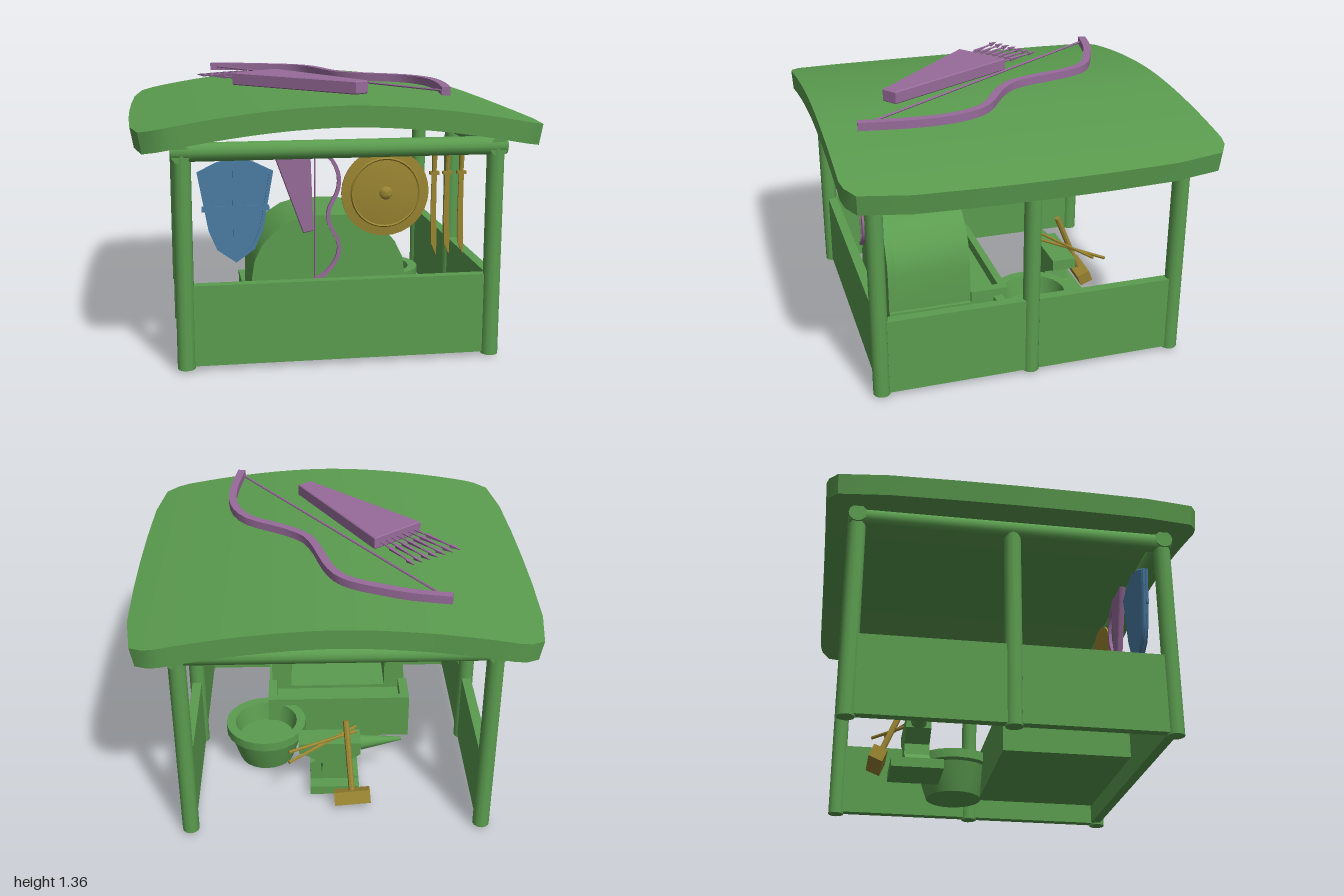
import * as THREE from 'three';
import { toCreasedNormals } from 'three/addons/utils/BufferGeometryUtils.js';

const mat = (c) => new THREE.MeshStandardMaterial({ color: c, side: THREE.DoubleSide });
const V = (x, y, z) => new THREE.Vector3(x, y, z);

export function createModel() {
  const root = new THREE.Group();
  const green = mat(0x5b9c4f), purple = mat(0x976b9a), gold = mat(0x9a8532), blue = mat(0x4a7ba3);

  const add = (name, geo, m, x = 0, y = 0, z = 0, parent = root) => {
    const mesh = new THREE.Mesh(toCreasedNormals(geo, 0.7), m);
    mesh.name = name;
    mesh.position.set(x, y, z);
    parent.add(mesh);
    return mesh;
  };
  const box = (name, w, h, d, x, y, z, m = green, parent = root) =>
    add(name, new THREE.BoxGeometry(w, h, d), m, x, y, z, parent);
  // Cylinder or cone between two points
  const rod = (name, a, b, r, m, parent = root, r2 = r, sides = 12) => {
    const dir = b.clone().sub(a), mid = a.clone().add(b).multiplyScalar(0.5);
    const mesh = add(name, new THREE.CylinderGeometry(r2, r, dir.length(), sides), m, mid.x, mid.y, mid.z, parent);
    mesh.quaternion.setFromUnitVectors(V(0, 1, 0), dir.normalize());
    return mesh;
  };
  const polygon = (pts) => new THREE.Shape(pts.map((p) => new THREE.Vector2(p[0], p[1])));
  const plate = (pts, depth, bevel = 0) => new THREE.ExtrudeGeometry(polygon(pts), {
    depth, bevelEnabled: bevel > 0, bevelSize: bevel, bevelThickness: bevel, bevelOffset: -bevel, bevelSegments: 1,
  });
  // Flat strip of constant width following a path
  const strip = (pts, width, depth) => {
    const curve = new THREE.CatmullRomCurve3(pts.map((p) => V(p[0], p[1], 0)));
    const left = [], right = [];
    for (let i = 0; i <= 28; i++) {
      const p = curve.getPoint(i / 28), t = curve.getTangent(i / 28);
      left.push([p.x - t.y * width / 2, p.y + t.x * width / 2]);
      right.unshift([p.x + t.y * width / 2, p.y - t.x * width / 2]);
    }
    return plate([...left, ...right], depth);
  };

  // Arched roof: rows along z set the cut corners, x is bent into a bow
  const rows = [[-0.93, 0.82], [-0.918, 0.88], [-0.875, 0.945], [-0.63, 0.985], [-0.3, 0.997], [0, 1],
    [0.3, 0.997], [0.63, 0.985], [0.875, 0.945], [0.918, 0.88], [0.93, 0.82]];
  const roof = new THREE.BoxGeometry(2, 0.1, 10, 28, 1, 10);
  const rp = roof.attributes.position;
  for (let i = 0; i < rp.count; i++) {
    const [z, w] = rows[Math.round(rp.getZ(i) + 5)];
    const x = rp.getX(i) * w, y = rp.getY(i);
    const tuck = y < 0 ? 0.982 : 1;
    rp.setXYZ(i, x * tuck, y + 1.222 - 0.122 * Math.pow(Math.abs(x), 1.8), z * (y < 0 ? 0.995 : 1));
  }
  add('roof', roof, green);

  // Posts, beams and low walls
  for (const s of [-1, 1]) {
    for (const z of [-0.77, 0, 0.77]) rod('post', V(s * 0.75, 0, z), V(s * 0.75, 1.05, z), 0.043, green);
    rod('sideBeam', V(s * 0.755, 1.045, -0.81), V(s * 0.755, 1.045, 0.81), 0.045, green);
    rod('crossBeam', V(-0.8, 1.05, s * 0.77), V(0.8, 1.05, s * 0.77), 0.045, green);
    for (const z of [-0.385, 0.385]) box('sideWall', 0.05, 0.4, 0.7, s * 0.75, 0.21, z);
  }
  box('frontWall', 1.44, 0.4, 0.05, 0, 0.21, 0.755);

  // Forge: hearth table with a hollow arched hood
  const forge = new THREE.Group();
  forge.name = 'forge';
  root.add(forge);
  box('hearth', 0.8, 0.2, 0.64, -0.04, 0.1, 0.32, green, forge);
  for (const s of [-1, 1]) box('hearthRim', 0.05, 0.06, 0.2, -0.04 + s * 0.375, 0.23, 0.1, green, forge);
  box('hearthRim', 0.7, 0.06, 0.04, -0.04, 0.23, 0.02, green, forge);
  const arch = (w, base, spring, top) => {
    const pts = [[-w, base], [w, base]];
    for (let i = 0; i <= 12; i++) {
      const a = Math.PI * i / 12;
      pts.push([Math.cos(a) * w, Math.min(top, spring + Math.sin(a) * (top - spring) * 1.06)]);
    }
    return pts;
  };
  const hood = polygon(arch(0.38, 0.2, 0.4, 0.7));
  hood.holes.push(new THREE.Path(arch(0.27, 0.22, 0.38, 0.58).map((p) => new THREE.Vector2(p[0], p[1]))));
  add('hood', new THREE.ExtrudeGeometry(hood, { depth: 0.4, bevelEnabled: false }), green, -0.04, 0, 0.2, forge);
  add('hoodBack', plate(arch(0.38, 0.2, 0.4, 0.7), 0.04), green, -0.04, 0, 0.6, forge);

  // Quenching tub
  const tub = [[0, 0], [0.15, 0], [0.17, 0.06], [0.2, 0.16], [0.22, 0.17], [0.22, 0.22], [0.17, 0.22], [0.15, 0.12], [0, 0.12]];
  add('tub', new THREE.LatheGeometry(tub.map((p) => new THREE.Vector2(...p)), 24), green, 0.37, 0, -0.14);

  // Anvil with the horn towards -x
  const anvil = new THREE.Group();
  anvil.name = 'anvil';
  anvil.position.set(0, 0, -0.385);
  root.add(anvil);
  add('anvilBody', plate([[-0.13, 0], [0.13, 0], [0.13, 0.05], [0.07, 0.09], [0.06, 0.15], [0.14, 0.2], [0.19, 0.22],
    [0.19, 0.28], [-0.14, 0.28], [-0.14, 0.21], [-0.06, 0.15], [-0.07, 0.09], [-0.13, 0.05]], 0.13), green, 0, 0, -0.065, anvil);
  box('anvilFoot', 0.26, 0.05, 0.27, 0, 0.025, 0, green, anvil);
  rod('horn', V(-0.14, 0.242, 0), V(-0.36, 0.262, 0), 0.042, green, anvil, 0.008);

  // Tongs on the anvil, hammer leaning against it
  for (const s of [-1, 1]) {
    rod('tongs', V(0.24, 0.29 + s * 0.006, -0.57 + s * 0.035), V(-0.12, 0.29 + s * 0.006, -0.33 - s * 0.03), 0.009, gold, root, 0.009, 6);
  }
  const hammer = new THREE.Group();
  hammer.name = 'hammer';
  hammer.position.set(-0.09, 0.04, -0.59);
  hammer.quaternion.setFromUnitVectors(V(0, 1, 0), V(0.03, 0.38, 0.16).normalize());
  root.add(hammer);
  box('hammerHead', 0.19, 0.07, 0.075, 0, 0, 0, gold, hammer);
  rod('hammerHandle', V(0, 0, 0), V(0, 0.41, 0), 0.016, gold, hammer, 0.016, 8);

  // Pointed shield with raised border and cross
  const shield = new THREE.Group();
  shield.name = 'pointedShield';
  shield.position.set(-0.5, 0, 0.69);
  root.add(shield);
  const half = [[0, 0.5], [0.09, 0.565], [0.13, 0.66], [0.18, 0.94], [0.09, 0.985], [0, 1.01]];
  const outline = [...half, ...half.slice(1, -1).reverse().map(([x, y]) => [-x, y])];
  add('shieldPlate', plate(outline, 0.01, 0.008), blue, 0, 0, 0, shield);
  const border = polygon(outline);
  border.holes.push(new THREE.Path(outline.map(([x, y]) => new THREE.Vector2(x * 0.89, 0.78 + (y - 0.78) * 0.92))));
  add('shieldBorder', new THREE.ExtrudeGeometry(border, { depth: 0.012, bevelEnabled: false }), blue, 0, 0, 0.014, shield);
  box('shieldCross', 0.026, 0.46, 0.012, 0, 0.755, 0.02, blue, shield);
  box('shieldCross', 0.32, 0.026, 0.012, 0, 0.765, 0.02, blue, shield);

  // Round shield with ring and boss
  const dish = [[0, 0.035], [0.014, 0.034], [0.03, 0.024], [0.032, 0.018], [0.1, 0.016], [0.16, 0.008], [0.166, 0.013],
    [0.172, 0.004], [0.215, 0], [0.215, -0.01], [0, -0.004]];
  const round = add('roundShield', new THREE.LatheGeometry(dish.map((p) => new THREE.Vector2(...p)).reverse(), 32), gold, 0.225, 0.82, 0.705);
  round.rotation.x = Math.PI / 2;

  // Three hanging swords
  for (const x of [0.465, 0.53, 0.6]) {
    const sword = new THREE.Group();
    sword.name = 'sword';
    sword.position.set(x, 0, 0.71);
    root.add(sword);
    rod('grip', V(0, 0.91, 0), V(0, 1.02, 0), 0.011, gold, sword, 0.015, 8);
    box('guard', 0.044, 0.016, 0.025, 0, 0.91, 0, gold, sword);
    add('blade', plate([[-0.012, 0.91], [-0.014, 0.7], [-0.01, 0.56], [0.016, 0.5], [0.018, 0.58], [0.012, 0.7], [0.012, 0.91]],
      0.01), gold, 0, 0, -0.005, sword);
  }

  // Hanging quiver and bow
  add('hangingQuiver', plate([[-0.175, 0.63], [-0.125, 0.64], [-0.14, 1.03], [-0.32, 1.03]], 0.025, 0.004), purple, 0, 0, 0.675);
  add('hangingBow', strip([[-0.12, 0.39], [-0.06, 0.43], [-0.01, 0.5], [0, 0.57], [-0.05, 0.68], [-0.05, 0.74],
    [-0.005, 0.84], [-0.005, 0.92], [-0.05, 1.0], [-0.12, 1.03]], 0.018, 0.018), purple, 0, 0, 0.685);
  rod('hangingBowString', V(-0.118, 0.39, 0.694), V(-0.118, 1.03, 0.694), 0.003, purple, root, 0.003, 6);

  // Large quiver lying on the roof, with its arrows
  const flat = (name, geo, y) => { add(name, geo, purple, 0, y, 0).rotation.x = Math.PI / 2; };
  flat('roofQuiver', plate([[-0.46, 0.03], [-0.21, -0.16], [0.17, 0.53], [0.1, 0.58]], 0.055, 0.005), 1.34);
  for (let i = 0; i < 7; i++) {
    const t = i / 6, y = 1.313;
    const a = V(-0.42 + 0.18 * t, y, 0.01 - 0.14 * t), b = V(-0.635 + 0.245 * t, y, -0.24 - 0.155 * t);
    const at = (k) => a.clone().lerp(b, k);
    rod('arrowShaft', a, at(0.85), 0.005, purple, root, 0.005, 6);
    rod('arrowFletching', at(0.3), at(0.62), 0.012, purple, root, 0.006, 4);
    rod('arrowHead', at(0.8), b, 0.013, purple, root, 0.001, 4);
  }

  // Large bow lying on the roof
  flat('roofBow', strip([[-0.535, -0.73], [-0.35, -0.69], [-0.2, -0.63], [-0.08, -0.57], [-0.01, -0.5], [0.04, -0.38], [0.08, -0.22],
    [0.13, -0.09], [0.22, 0], [0.32, 0.065], [0.43, 0.14], [0.5, 0.25], [0.53, 0.4], [0.525, 0.57], [0.495, 0.78]], 0.042, 0.04), 1.333);
  rod('roofBowString', V(-0.5, 1.313, -0.71), V(0.49, 1.313, 0.75), 0.006, purple, root, 0.006, 6);

  return root;
}
